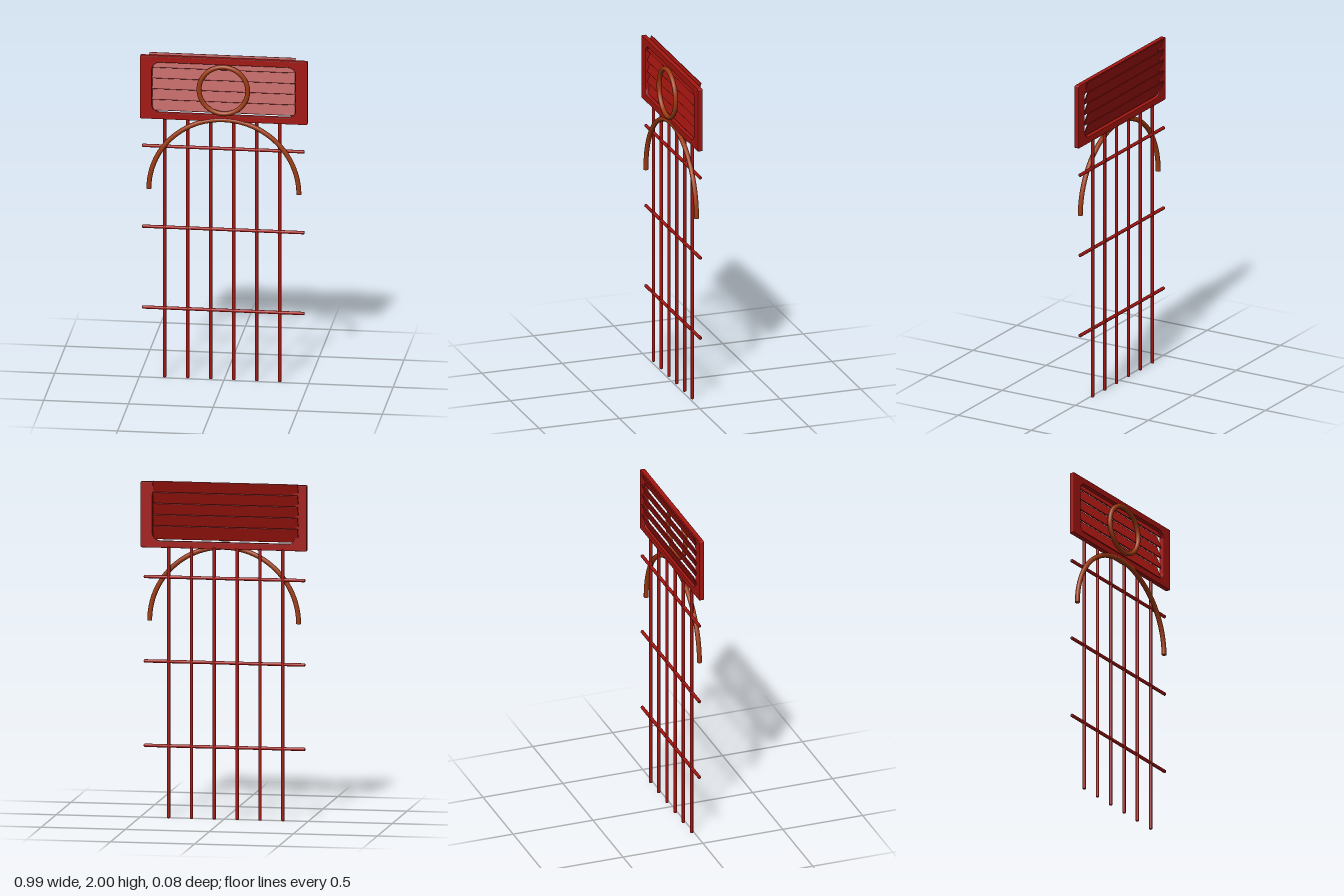
import * as THREE from 'three';
import { RoundedBoxGeometry } from 'three/addons/geometries/RoundedBoxGeometry.js';

const red = new THREE.MeshStandardMaterial({ color: 0xa31510 });
const rust = new THREE.MeshStandardMaterial({ color: 0x9c3a12 });

function add(parent, name, geometry, material, x = 0, y = 0, z = 0) {
  const mesh = new THREE.Mesh(geometry, material);
  mesh.name = name;
  mesh.position.set(x, y, z);
  parent.add(mesh);
  return mesh;
}

// Rounded rectangle centred on the origin
function roundedRect(path, w, h, r) {
  const x = w / 2 - r, y = h / 2 - r;
  path.absarc(x, y, r, 0, Math.PI / 2);
  path.absarc(-x, y, r, Math.PI / 2, Math.PI);
  path.absarc(-x, -y, r, Math.PI, Math.PI * 1.5);
  path.absarc(x, -y, r, Math.PI * 1.5, Math.PI * 2);
  path.closePath();
  return path;
}

// Round rod with softly chamfered ends
function rodGeometry(length, r) {
  const h = length / 2, c = r * 0.35;
  const profile = [[0, -h], [r - c, -h], [r, -h + c], [r, h - c], [r - c, h], [0, h]];
  return new THREE.LatheGeometry(profile.map(([x, y]) => new THREE.Vector2(x, y)), 12);
}

export function createModel() {
  const model = new THREE.Group();
  model.name = 'louvredGrille';

  // Header frame with a rounded window
  const bevel = 0.004;
  const outline = roundedRect(new THREE.Shape(), 0.99 - 2 * bevel, 0.39 - 2 * bevel, 0.004);
  outline.holes.push(roundedRect(new THREE.Path(), 0.848 + 2 * bevel, 0.31 + 2 * bevel, 0.05));
  const frame = new THREE.ExtrudeGeometry(outline, {
    depth: 0.03 - 2 * bevel, bevelEnabled: true, bevelSize: bevel,
    bevelThickness: bevel, bevelSegments: 2, curveSegments: 10,
  });
  add(model, 'headerFrame', frame, red, 0, 1.796, -0.02 + bevel);

  // Slanted slats, tops leaning backwards
  const louvres = new THREE.Group();
  louvres.name = 'louvres';
  model.add(louvres);
  for (let i = 0; i < 5; i++) {
    const slat = add(louvres, 'slat', new RoundedBoxGeometry(0.865, 0.09, 0.008, 2, 0.003), red,
      -0.0125, 1.957 - i * 0.066, -0.021);
    slat.rotation.x = -0.36;
  }

  // Ring on the front of the header
  add(model, 'ring', new THREE.TorusGeometry(0.144, 0.0145, 12, 64), rust, 0, 1.8, 0.024);

  // Semicircular arch with closed ends
  const archRadius = 0.443, tube = 0.0145;
  const arch = new THREE.Group();
  arch.name = 'arch';
  arch.position.set(0, 1.168, 0);
  model.add(arch);
  add(arch, 'archTube', new THREE.TorusGeometry(archRadius, tube, 12, 64, Math.PI), rust);
  for (const side of [-1, 1]) {
    const cap = add(arch, 'archEnd', new THREE.CircleGeometry(tube, 12), rust, side * archRadius);
    cap.rotation.x = Math.PI / 2;
  }

  // Upright bars
  const bars = new THREE.Group();
  bars.name = 'bars';
  model.add(bars);
  const upright = rodGeometry(1.61, 0.01);
  for (let i = 0; i < 6; i++) {
    add(bars, 'uprightBar', upright, red, -0.352 + i * 0.136, 0.805, -0.015);
  }

  // Cross bars
  const cross = rodGeometry(0.96, 0.01);
  for (const y of [0.428, 0.928, 1.428]) {
    add(bars, 'crossBar', cross, red, -0.005, y, -0.014).rotation.z = Math.PI / 2;
  }

  return model;
}
